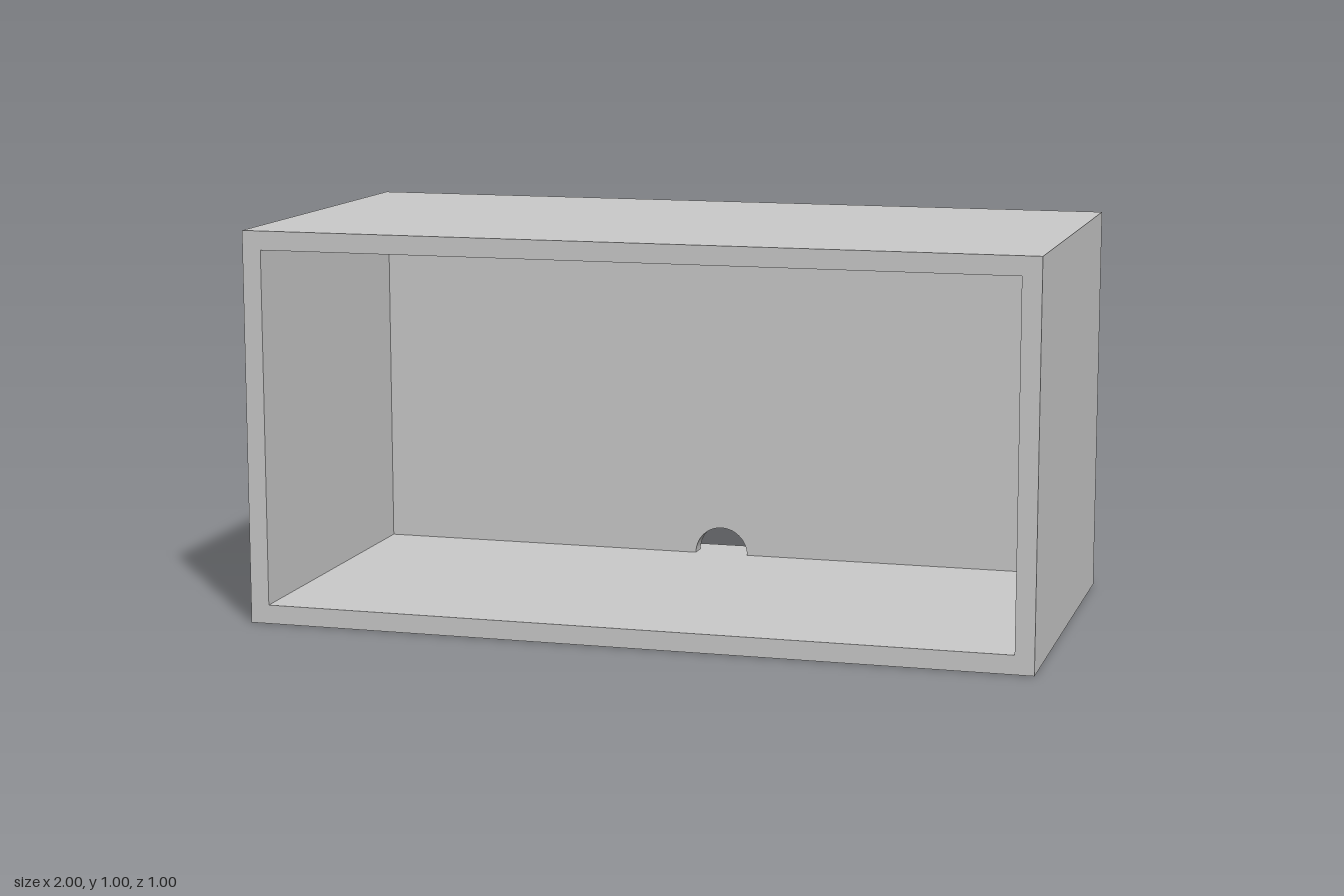
import * as THREE from 'three';

const W = 2, H = 1, D = 1;      // outer size
const T = 0.048;                // board thickness
const RECESS = 0.067;           // back panel set in from the rear edge
const NOTCH = 0.072;            // cable notch radius

const material = new THREE.MeshStandardMaterial({ color: 0xcccccc });

function rectangle(target, x, y0, y1) {
  target.moveTo(-x, y0);
  target.lineTo(x, y0);
  target.lineTo(x, y1);
  target.lineTo(-x, y1);
  target.closePath();
  return target;
}

function extruded(name, shape, depth, z) {
  const geometry = new THREE.ExtrudeGeometry(shape, { depth, bevelEnabled: false, curveSegments: 24 });
  const mesh = new THREE.Mesh(geometry, material);
  mesh.name = name;
  mesh.position.z = z;
  return mesh;
}

export function createModel() {
  const group = new THREE.Group();
  group.name = 'openCabinet';

  // Frame: top, bottom and sides as one open box
  const frame = rectangle(new THREE.Shape(), W / 2, 0, H);
  frame.holes.push(rectangle(new THREE.Path(), W / 2 - T, T, H - T));
  group.add(extruded('frame', frame, D, -D / 2));

  // Recessed back panel with a half-round cable notch at the floor
  const x = W / 2 - T;
  const panel = new THREE.Shape();
  panel.moveTo(-x, T);
  panel.lineTo(-NOTCH, T);
  panel.absarc(0, T, NOTCH, Math.PI, 0, true);
  panel.lineTo(x, T);
  panel.lineTo(x, H - T);
  panel.lineTo(-x, H - T);
  panel.closePath();
  group.add(extruded('backPanel', panel, T, -D / 2 + RECESS));

  return group;
}
